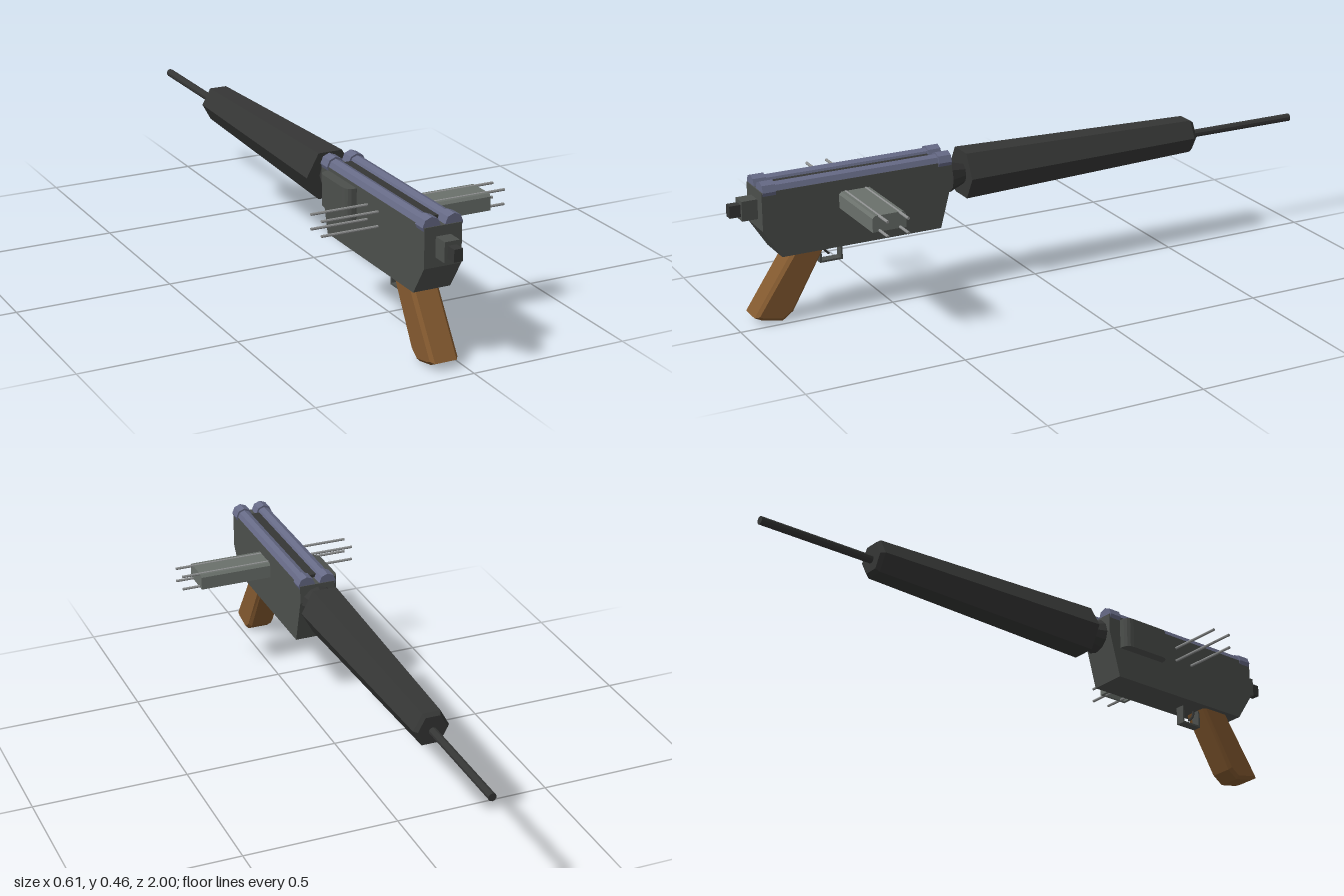
import * as THREE from 'three';

const mat = (color) => new THREE.MeshStandardMaterial({ color, flatShading: true, side: THREE.DoubleSide });
const metal = mat(0x4c4f4c), dark = mat(0x353635), blue = mat(0x666a86);
const wood = mat(0x83592f), pale = mat(0x6a706b), steel = mat(0x8c8e8e);
const CX = -0.06; // centre plane of the long parts

export function createModel() {
  const model = new THREE.Group();

  const add = (name, geometry, material, x = 0, y = 0, z = 0) => {
    const mesh = new THREE.Mesh(geometry, material);
    mesh.name = name;
    mesh.position.set(x, y, z);
    model.add(mesh);
    return mesh;
  };

  const box = (name, material, w, h, d, x, y, z) =>
    add(name, new THREE.BoxGeometry(w, h, d), material, x, y, z);

  const polygon = (points) => new THREE.Shape(points.map(([a, b]) => new THREE.Vector2(a, b)));

  // Side profile in (z, y), extruded across x and centred on x = 0
  const sideExtrude = (shape, width, bevel = 0) => {
    const depth = width - 2 * bevel;
    const g = new THREE.ExtrudeGeometry(shape, {
      depth, bevelEnabled: bevel > 0, bevelThickness: bevel,
      bevelSize: bevel, bevelOffset: -bevel, bevelSegments: 1,
    });
    g.translate(0, 0, -depth / 2);
    return g.rotateY(-Math.PI / 2);
  };

  // Tapered prism along z, from zBack (radius rBack) to zFront (radius rFront)
  const zPrism = (name, material, rFront, rBack, zFront, zBack, sides, start, x, y) => {
    const g = new THREE.CylinderGeometry(rFront, rBack, zFront - zBack, sides, 1, false, start);
    g.rotateX(Math.PI / 2);
    return add(name, g, material, x, y, (zFront + zBack) / 2);
  };

  // Receiver
  const receiver = polygon([[0.915, 0.43], [0.915, 0.308], [0.857, 0.218], [0.33, 0.218], [0.29, 0.37], [0.29, 0.43]]);
  add('receiver', sideExtrude(receiver, 0.12), metal, CX);
  box('endBlock', metal, 0.048, 0.062, 0.052, CX, 0.369, 0.939);
  box('endKnob', dark, 0.028, 0.038, 0.04, CX, 0.369, 0.98);

  // Twin top tubes with thicker end collars, and the strip between them
  for (const x of [CX - 0.036, CX + 0.036]) {
    zPrism('topTube', blue, 0.023, 0.023, 0.9, 0.3, 8, 0, x, 0.43);
    zPrism('tubeCollar', blue, 0.029, 0.029, 0.912, 0.87, 8, 0, x, 0.43);
    zPrism('tubeCollar', blue, 0.029, 0.029, 0.335, 0.292, 8, 0, x, 0.43);
  }
  box('topStrip', dark, 0.03, 0.014, 0.52, CX, 0.433, 0.6);

  // Hexagonal shroud, its neck and the thin barrel
  const hex = Math.PI / 2;
  zPrism('neckPin', dark, 0.025, 0.025, 0.3, 0.27, 12, 0, CX, 0.367);
  zPrism('neck', dark, 0.057, 0.035, 0.283, 0.225, 12, 0, CX, 0.367);
  zPrism('shroud', dark, 0.08, 0.058, 0.23, -0.592, 6, hex, CX, 0.365).scale.y = 1.06;
  zPrism('shroudTip', dark, 0.058, 0.048, -0.592, -0.605, 6, hex, CX, 0.365).scale.y = 1.06;
  zPrism('barrel', dark, 0.013, 0.013, -0.6, -1, 10, 0, CX, 0.361);

  // Raked grip
  const grip = polygon([[0.81, 0.23], [0.945, 0.028], [0.92, 0.016], [0.855, 0.003], [0.82, 0.028], [0.705, 0.23]]);
  add('grip', sideExtrude(grip, 0.09, 0.01), wood, CX);

  // Trigger guard and trigger
  const guard = polygon([[0.718, 0.222], [0.718, 0.158], [0.643, 0.158], [0.643, 0.222]]);
  guard.holes.push(new THREE.Path([[0.712, 0.218], [0.712, 0.164], [0.649, 0.164], [0.649, 0.218]]
    .map(([a, b]) => new THREE.Vector2(a, b))));
  add('triggerGuard', sideExtrude(guard, 0.03), metal, CX);
  const triggerPath = new THREE.CatmullRomCurve3([
    new THREE.Vector3(0, 0.222, 0.705), new THREE.Vector3(0, 0.198, 0.7), new THREE.Vector3(0, 0.178, 0.682)]);
  add('trigger', new THREE.TubeGeometry(triggerPath, 6, 0.004, 6), dark, CX);

  // Rounded side housing, drawn in (x, -z) and raised along y
  const r = 0.03, x0 = -0.153, x1 = -0.115, a = -0.515, b = -0.335;
  const housing = new THREE.Shape();
  housing.moveTo(x1, a);
  housing.lineTo(x1, b);
  housing.lineTo(x0 + r, b);
  housing.quadraticCurveTo(x0, b, x0, b - r);
  housing.lineTo(x0, a + r);
  housing.quadraticCurveTo(x0, a, x0 + r, a);
  const housingGeo = new THREE.ExtrudeGeometry(housing, { depth: 0.1, bevelEnabled: false, curveSegments: 4 });
  add('sideHousing', housingGeo.rotateX(-Math.PI / 2), metal, 0, 0.32, 0);

  // Side tray, open below, with a closed outer end
  const tray = polygon([
    [0.56, 0.342], [0.56, 0.385], [0.568, 0.393], [0.66, 0.393], [0.668, 0.385], [0.668, 0.342],
    [0.658, 0.342], [0.658, 0.383], [0.57, 0.383], [0.57, 0.342]]);
  add('sideTray', sideExtrude(tray, 0.243), pale, 0.1215);
  box('trayEnd', pale, 0.008, 0.045, 0.1, 0.239, 0.365, 0.614);

  // Four thin cross rods
  for (const y of [0.346, 0.391]) {
    for (const z of [0.58, 0.646]) {
      const rod = new THREE.CylinderGeometry(0.0045, 0.0045, 0.605, 8).rotateZ(Math.PI / 2);
      add('crossRod', rod, steel, 0, y, z);
    }
  }

  return model;
}
